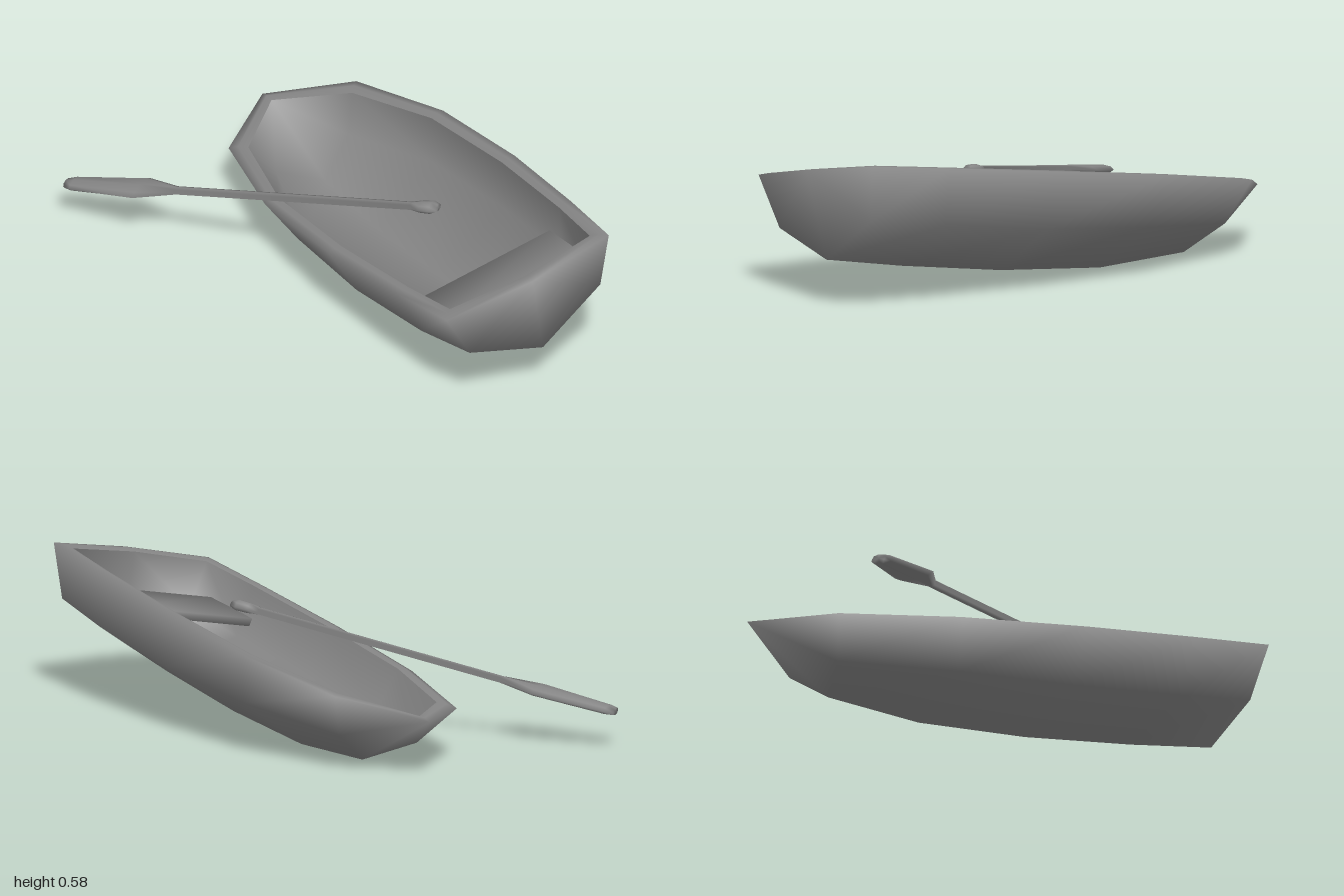
import * as THREE from 'three';
import { toCreasedNormals } from 'three/addons/utils/BufferGeometryUtils.js';

const material = new THREE.MeshStandardMaterial({ color: 0x858585 });

// Every part is shaded smoothly across all of its edges
function smoothMesh(name, geometry) {
  const m = new THREE.Mesh(toCreasedNormals(geometry, Math.PI), material);
  m.name = name;
  return m;
}

// Collects triangles, dropping collapsed ones
function surface(triangles) {
  const points = triangles.filter(t => new THREE.Triangle(...t).getArea() > 1e-7).flat();
  return new THREE.BufferGeometry().setFromPoints(points);
}

// Cross-section rows, stern to bow:
// [rim s, rim w, chine s, chine w, chine depth, keel s, keel depth]
const outerRows = [
  [0, 0.36, 0.045, 0.29, 0.2, 0.05, 0.33],
  [0.335, 0.388, 0.36, 0.325, 0.21, 0.395, 0.344],
  [0.81, 0.412, 0.83, 0.34, 0.21, 0.85, 0.349],
  [1.33, 0.395, 1.31, 0.315, 0.19, 1.305, 0.328],
  [1.8, 0.283, 1.75, 0.18, 0.16, 1.69, 0.261],
  [2.03, 0, 2.03, 0, 0, 2.03, 0],
];
const innerRows = [
  [0.06, 0.31, 0.075, 0.275, 0.18, 0.09, 0.31],
  [0.335, 0.335, 0.36, 0.305, 0.195, 0.395, 0.325],
  [0.81, 0.355, 0.83, 0.32, 0.195, 0.85, 0.33],
  [1.32, 0.338, 1.31, 0.295, 0.175, 1.305, 0.31],
  [1.74, 0.23, 1.72, 0.16, 0.14, 1.67, 0.242],
  [1.96, 0, 1.96, 0, 0, 1.96, 0],
];

const section = ([rs, rw, cs, cw, cd, ks, kd]) => [
  [-rw, 0, rs], [-cw, cd, cs], [0, kd, ks], [cw, cd, cs], [rw, 0, rs],
].map(([w, d, s]) => new THREE.Vector3(w, -d, -s));

// Hull skin with its transom fanned from a point on the stern rim
function shell(rings, sternPoint, outward) {
  const tris = [];
  const add = (a, b, c) => tris.push(outward ? [a, b, c] : [a, c, b]);
  for (let i = 0; i < rings.length - 1; i++) {
    for (let j = 0; j < 4; j++) {
      const a = rings[i][j], b = rings[i][j + 1];
      const c = rings[i + 1][j + 1], d = rings[i + 1][j];
      add(a, c, b);
      add(a, d, c);
    }
  }
  for (let j = 0; j < 4; j++) add(sternPoint, rings[0][j], rings[0][j + 1]);
  return tris;
}

const rimLoop = (rings, sternPoint) => [
  sternPoint, ...rings.map(r => r[4]), ...rings.slice(0, -1).reverse().map(r => r[0]),
];

// Closed band between two matching loops
function band(outer, inner) {
  const tris = [];
  outer.forEach((o, k) => {
    const n = (k + 1) % outer.length;
    tris.push([o, outer[n], inner[n]], [o, inner[n], inner[k]]);
  });
  return tris;
}

function createBoat() {
  const boat = new THREE.Group();
  boat.name = 'boat';
  const outer = outerRows.map(section), inner = innerRows.map(section);
  const outerStern = new THREE.Vector3(0, 0, 0.04);
  const innerStern = new THREE.Vector3(0, 0, -0.02);

  // Outer skin running over a slightly crowned gunwale
  const a = rimLoop(outer, outerStern), b = rimLoop(inner, innerStern);
  const crest = a.map((p, i) => p.clone().lerp(b[i], 0.5).setY(0.006));
  const outside = [...shell(outer, outerStern, true), ...band(a, crest), ...band(crest, b)];
  boat.add(smoothMesh('hullAndGunwale', surface(outside)));
  boat.add(smoothMesh('hullInterior', surface(shell(inner, innerStern, false))));

  // Bench across the stern
  const bench = smoothMesh('bench', new THREE.BoxGeometry(0.62, 0.03, 0.25));
  bench.position.set(-0.01, -0.125, -0.28);
  boat.add(bench);

  // Heel the boat to one side and turn it
  const up = new THREE.Vector3(-0.241, 0.969, -0.055).normalize();
  const back = new THREE.Vector3(0.361, 0.143, 0.922).normalize();
  const side = new THREE.Vector3().crossVectors(up, back).normalize();
  back.crossVectors(side, up);
  boat.applyMatrix4(new THREE.Matrix4().makeBasis(side, up, back).setPosition(0.604, 0.507, 0.868));
  return boat;
}

// Oar: rows of [distance along, half width, half thickness]
function createOar() {
  const rows = [
    [0, 0.024, 0.012], [0.025, 0.038, 0.02], [0.07, 0.034, 0.019], [0.11, 0.02, 0.014],
    [1.09, 0.02, 0.014], [1.24, 0.078, 0.016], [1.52, 0.046, 0.016], [1.552, 0.028, 0.014],
  ];
  const last = rows.length - 1;
  const g = new THREE.CylinderGeometry(1, 1, 1, 8, last);
  const p = g.attributes.position;
  for (let i = 0; i < p.count; i++) {
    const [t, w, h] = rows[Math.round((p.getY(i) + 0.5) * last)];
    p.setXYZ(i, p.getX(i) * w, t, p.getZ(i) * h);
  }
  const oar = smoothMesh('oar', g);
  const grip = new THREE.Vector3(0.36, 0.432, 0.215);
  const dir = new THREE.Vector3(-0.925, 0.137, -0.615).sub(grip).normalize();
  const across = new THREE.Vector3().crossVectors(dir, new THREE.Vector3(0, 1, 0)).normalize();
  const normal = new THREE.Vector3().crossVectors(across, dir);
  oar.applyMatrix4(new THREE.Matrix4().makeBasis(across, dir, normal).setPosition(grip));
  return oar;
}

export function createModel() {
  const model = new THREE.Group();
  model.name = 'rowboat';
  model.add(createBoat(), createOar());
  return model;
}
